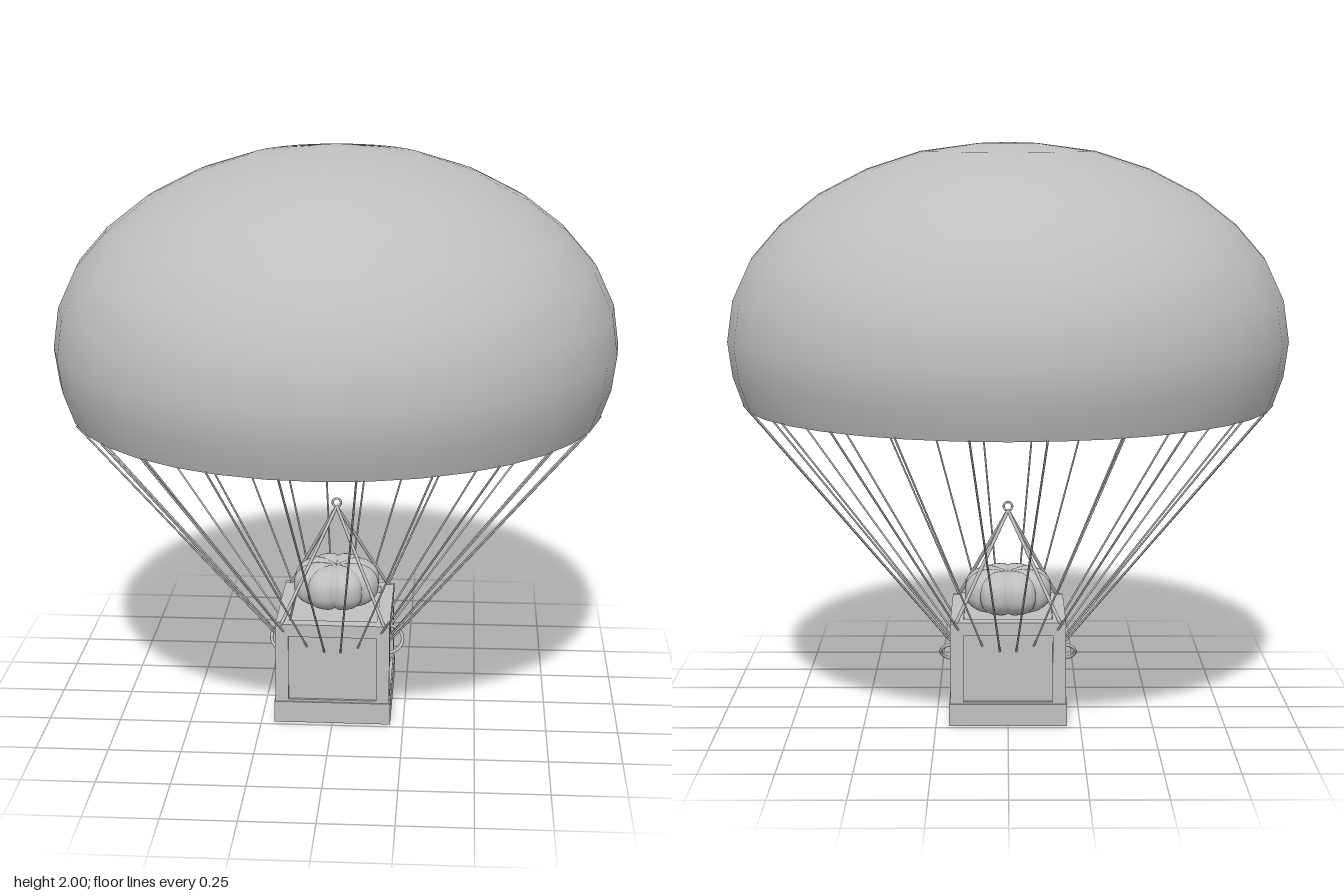
import * as THREE from 'three';

const grey = new THREE.MeshStandardMaterial({ color: 0xbfbfbf, side: THREE.DoubleSide });
grey.name = 'plain grey';

function add(parent, name, geometry, x = 0, y = 0, z = 0) {
  const mesh = new THREE.Mesh(geometry, grey);
  mesh.name = name;
  mesh.position.set(x, y, z);
  parent.add(mesh);
  return mesh;
}

function box(parent, name, w, h, d, x, y, z) {
  return add(parent, name, new THREE.BoxGeometry(w, h, d), x, y, z);
}

// Straight cord between two points
function cord(parent, name, a, b, radius) {
  const dir = b.clone().sub(a);
  const mesh = add(parent, name, new THREE.CylinderGeometry(radius, radius, dir.length(), 6));
  mesh.position.copy(a).add(b).multiplyScalar(0.5);
  mesh.quaternion.setFromUnitVectors(new THREE.Vector3(0, 1, 0), dir.normalize());
}

// Open dome
function buildCanopy(parent) {
  const profile = [
    [0.915, 1.105], [0.952, 1.21], [0.968, 1.33], [0.948, 1.47], [0.885, 1.605], [0.785, 1.72],
    [0.65, 1.825], [0.485, 1.91], [0.3, 1.97], [0.1, 1.997], [0, 2]
  ].map(([r, y]) => new THREE.Vector2(r, y));
  add(parent, 'canopy', new THREE.LatheGeometry(profile, 36));
}

// Lines from the canopy edge, aimed at the foot of the crate and ending just inside its walls
function buildLines(parent) {
  const group = new THREE.Group();
  group.name = 'suspensionLines';
  for (let i = 0; i < 24; i++) {
    const a = (i + 0.5) * Math.PI / 12;
    const top = new THREE.Vector3(0.917 * Math.sin(a), 1.108, 0.917 * Math.cos(a));
    const t = Math.min(0.19 / Math.abs(top.x), 0.215 / Math.abs(top.z));
    cord(group, 'suspensionLine', top, top.clone().multiplyScalar(t), 0.0035);
  }
  parent.add(group);
}

// Framed crate with sunken side panels and a sunken lid
function buildCrate(parent) {
  const crate = new THREE.Group();
  crate.name = 'crate';
  box(crate, 'crateCore', 0.38, 0.335, 0.43, 0, 0.1725, 0);
  box(crate, 'basePlate', 0.39, 0.01, 0.44, 0, 0.008, 0);
  for (const s of [-1, 1]) {
    for (const t of [-1, 1]) box(crate, 'cornerPost', 0.046, 0.36, 0.046, s * 0.177, 0.182, t * 0.202);
    box(crate, 'topRailSide', 0.046, 0.045, 0.4, s * 0.177, 0.3425, 0);
    box(crate, 'topRailEnd', 0.35, 0.045, 0.046, 0, 0.3425, s * 0.202);
    box(crate, 'lowerRailSide', 0.02, 0.085, 0.4, s * 0.19, 0.0425, 0);
    box(crate, 'lowerRailEnd', 0.35, 0.085, 0.02, 0, 0.0425, s * 0.215);
    box(crate, 'skirtSide', 0.014, 0.077, 0.46, s * 0.197, 0.0385, 0);
    box(crate, 'skirtEnd', 0.4, 0.077, 0.014, 0, 0.0385, s * 0.223);
    // Tilted ring handle on each side
    const handle = add(crate, 'handle', new THREE.TorusGeometry(0.056, 0.006, 8, 28), s * 0.182, 0.215, -0.04);
    handle.rotation.x = -0.84;
  }
  parent.add(crate);
}

// Flattened round bundle, gathered into lobes
function buildBundle(parent) {
  const geometry = new THREE.SphereGeometry(1, 96, 24);
  const p = geometry.attributes.position;
  for (let i = 0; i < p.count; i++) {
    const y = p.getY(i);
    const a = Math.atan2(p.getZ(i), p.getX(i));
    const ring = Math.sqrt(Math.max(0, 1 - y * y));
    const r = Math.pow(ring, 0.75);
    const groove = 1 - 0.13 * Math.pow(1 - Math.abs(Math.sin(a * 4)), 2);
    const dip = 1 - 0.15 * Math.exp(-ring * ring * 12);
    p.setXYZ(i, Math.cos(a) * r * groove * 0.156,
      Math.sign(y) * Math.pow(Math.abs(y), 0.8) * 0.082 * dip * (0.5 + 0.5 * groove),
      Math.sin(a) * r * groove * 0.166);
  }
  geometry.computeVertexNormals();
  add(parent, 'bundle', geometry, 0, 0.438, -0.025);
}

// Four-legged sling with a ring at the top
function buildSling(parent) {
  const sling = new THREE.Group();
  sling.name = 'sling';
  const apex = new THREE.Vector3(0, 0.72, -0.025);
  for (const sx of [-1, 1]) for (const sz of [-1, 1]) {
    cord(sling, 'slingLeg', apex, new THREE.Vector3(sx * 0.182, 0.355, sz * 0.21), 0.006);
  }
  add(sling, 'slingRing', new THREE.TorusGeometry(0.015, 0.004, 8, 20), 0, 0.735, -0.025);
  parent.add(sling);
}

export function createModel() {
  const model = new THREE.Group();
  model.name = 'parachuteCrate';
  buildCanopy(model);
  buildLines(model);
  buildCrate(model);
  buildBundle(model);
  buildSling(model);
  return model;
}
